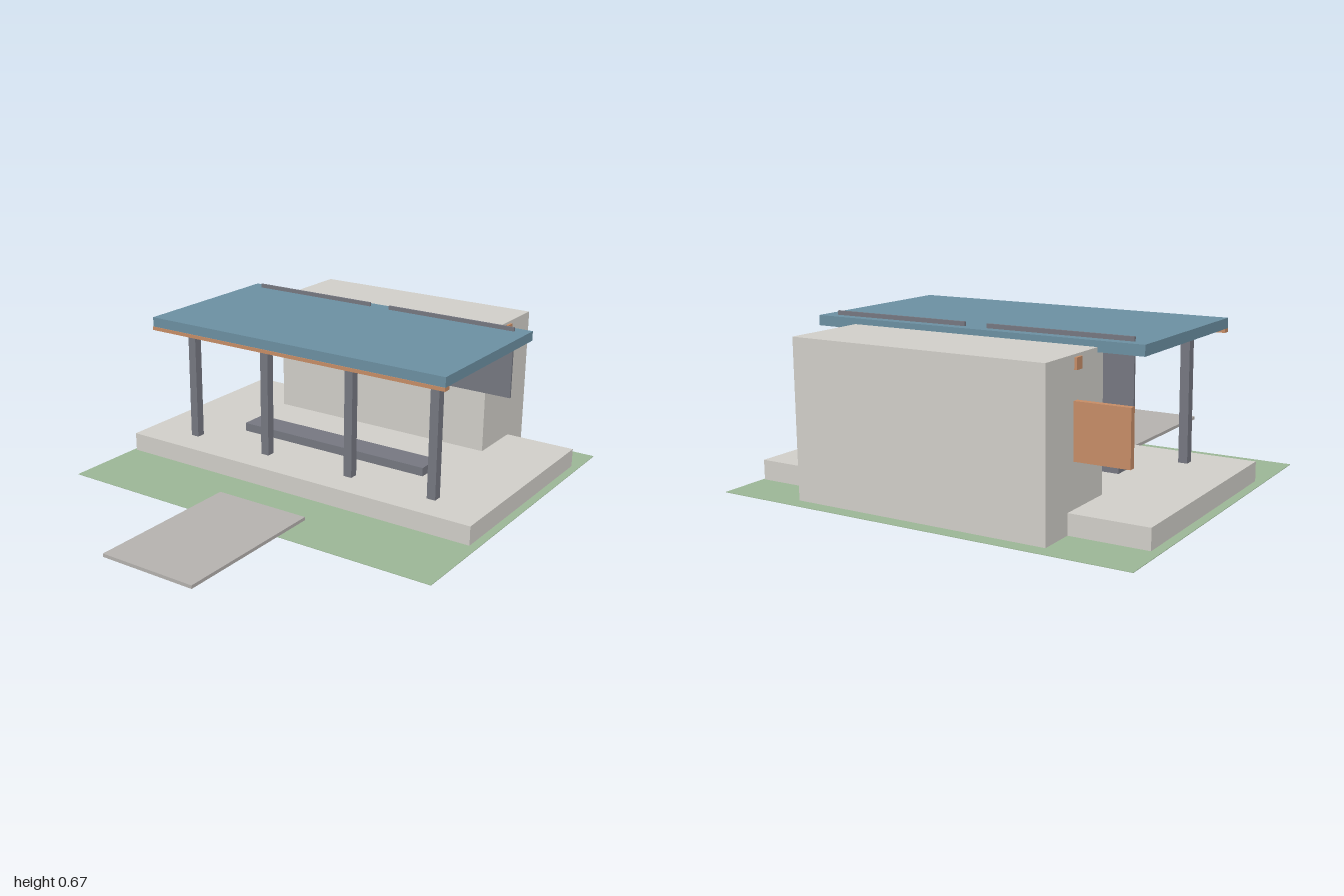
import * as THREE from 'three';

const mat = (color) => new THREE.MeshStandardMaterial({ color });

export function createModel() {
  const model = new THREE.Group();
  model.name = 'pavilion';

  const concrete = mat(0xd0cec8);
  const paving = mat(0xb4b1ae);
  const metal = mat(0x757780);
  const roofBlue = mat(0x6b8fa1);
  const wood = mat(0xc58c66);
  const grass = mat(0x9bb595);

  // Box given by its extents along each axis
  const block = (name, material, [x0, x1], [y0, y1], [z0, z1]) => {
    const mesh = new THREE.Mesh(new THREE.BoxGeometry(x1 - x0, y1 - y0, z1 - z0), material);
    mesh.position.set((x0 + x1) / 2, (y0 + y1) / 2, (z0 + z1) / 2);
    mesh.name = name;
    model.add(mesh);
    return mesh;
  };

  // Ground, entrance path and floor slab
  block('lawn', grass, [-0.872, 0.872], [0, 0.002], [-1, 0.477]);
  block('path', paving, [-0.213, 0.213], [0.013, 0.027], [0.315, 1]);
  block('floorSlab', concrete, [-0.845, 0.845], [0.01, 0.09], [-0.815, 0.137]);

  // Solid room at the back
  block('room', concrete, [-0.532, 0.532], [0.01, 0.628], [-0.962, -0.566]);

  // Roof with a wooden strip under its front edge
  block('roof', roofBlue, [-0.713, 0.713], [0.61, 0.651], [-0.607, 0.132]);
  block('roofTrim', wood, [-0.713, 0.713], [0.595, 0.61], [0.102, 0.135]);

  // Row of front posts
  for (const x of [-0.606, -0.214, 0.21, 0.603]) {
    block('post', metal, [x - 0.019, x + 0.019], [0.09, 0.61], [-0.03, 0.008]);
  }

  // Hanging screens, passing up through the roof
  for (const x of [-0.35, 0.35]) {
    block('screen', metal, [x - 0.302, x + 0.302], [0.36, 0.668], [-0.565, -0.556]);
  }

  block('bench', metal, [-0.46, 0.46], [0.09, 0.127], [-0.296, -0.175]);

  // Beam through the room and the side sign panel
  block('beam', wood, [-0.543, 0.543], [0.575, 0.618], [-0.772, -0.734]);
  block('sidePanel', wood, [-0.747, -0.53], [0.26, 0.47], [-0.775, -0.75]);

  return model;
}
